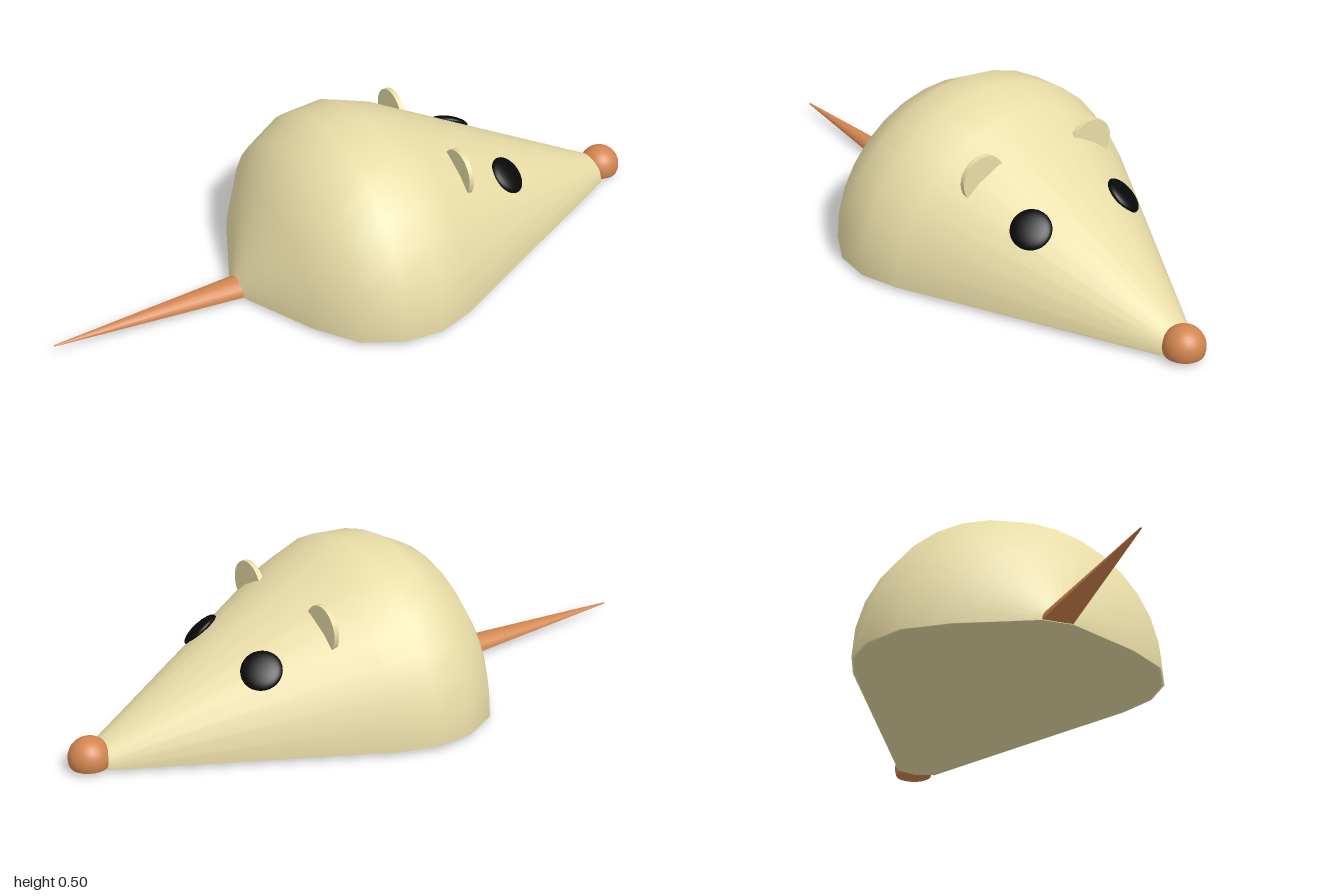
import * as THREE from 'three';

const mat = (color) => new THREE.MeshStandardMaterial({ color });

function add(parent, name, geometry, material) {
  const mesh = new THREE.Mesh(geometry, material);
  mesh.name = name;
  parent.add(mesh);
  return mesh;
}

// Half of a solid of revolution about the x axis; profile is [x, radius] from -x to +x.
function halfRevolve(profile, upper, yScale, segments) {
  const points = profile.map(([x, r]) => new THREE.Vector2(r, x));
  const g = new THREE.LatheGeometry(points, segments, upper ? Math.PI : 0, Math.PI);
  g.rotateZ(-Math.PI / 2);
  g.scale(1, yScale, 1);
  return g;
}

export function createModel() {
  const model = new THREE.Group();
  model.name = 'mouse';
  const fur = mat(0xe8dca6);
  const skin = mat(0xd2854f);
  const black = mat(0x080808);
  const baseY = 0.013;

  // Domed body tapering to the snout, with a nearly flat underside
  const bodyProfile = [
    [-0.4, 0], [-0.4, 0.047], [-0.29, 0.285], [-0.2, 0.412], [-0.08, 0.474],
    [0.04, 0.483], [0.16, 0.443], [0.9, 0.064], [0.92, 0],
  ];
  const body = new THREE.Group();
  body.name = 'body';
  body.position.y = baseY;
  model.add(body);
  add(body, 'back', halfRevolve(bodyProfile, true, 1, 16), fur);
  add(body, 'belly', halfRevolve(bodyProfile, false, 0.027, 16), fur);

  // Tail: half cone rising slightly to its tip
  const tail = new THREE.Group();
  tail.name = 'tail';
  tail.position.set(-0.39, 0.015, 0);
  tail.rotation.z = -0.023;
  model.add(tail);
  const tailProfile = [[-0.61, 0], [-0.608, 0.003], [0, 0.049], [0, 0]];
  add(tail, 'tailTop', halfRevolve(tailProfile, true, 0.88, 10), skin);
  add(tail, 'tailUnderside', halfRevolve(tailProfile, false, 0.02, 10), skin);

  // Nose: ball cut flat underneath
  const cut = Math.acos(-0.37);
  const nose = new THREE.Group();
  nose.name = 'nose';
  nose.position.set(0.935, 0.038, 0);
  model.add(nose);
  add(nose, 'noseBall', new THREE.SphereGeometry(0.063, 24, 14, 0, Math.PI * 2, 0, cut), skin);
  const noseBase = add(nose, 'noseBase', new THREE.CircleGeometry(0.063 * Math.sin(cut), 24), skin);
  noseBase.rotation.x = Math.PI / 2;
  noseBase.position.y = 0.063 * Math.cos(cut);

  for (const side of [1, -1]) {
    const label = side > 0 ? 'front' : 'rear';

    // Eye: flattened ball lying on the sloping head
    const eye = add(model, label + 'Eye', new THREE.SphereGeometry(0.062, 24, 16), black);
    eye.scale.z = 0.32;
    eye.position.set(0.455, 0.25, 0.172 * side);
    const normal = new THREE.Vector3(0.456, 0.72, 0.525 * side).normalize();
    eye.quaternion.setFromUnitVectors(new THREE.Vector3(0, 0, 1), normal);

    // Ear: thin upright disc half sunk into the head
    const ear = add(model, label + 'Ear', new THREE.CylinderGeometry(0.073, 0.073, 0.016, 28), fur);
    ear.rotation.z = Math.PI / 2;
    ear.position.set(0.26, 0.342, 0.2 * side);
  }
  return model;
}
